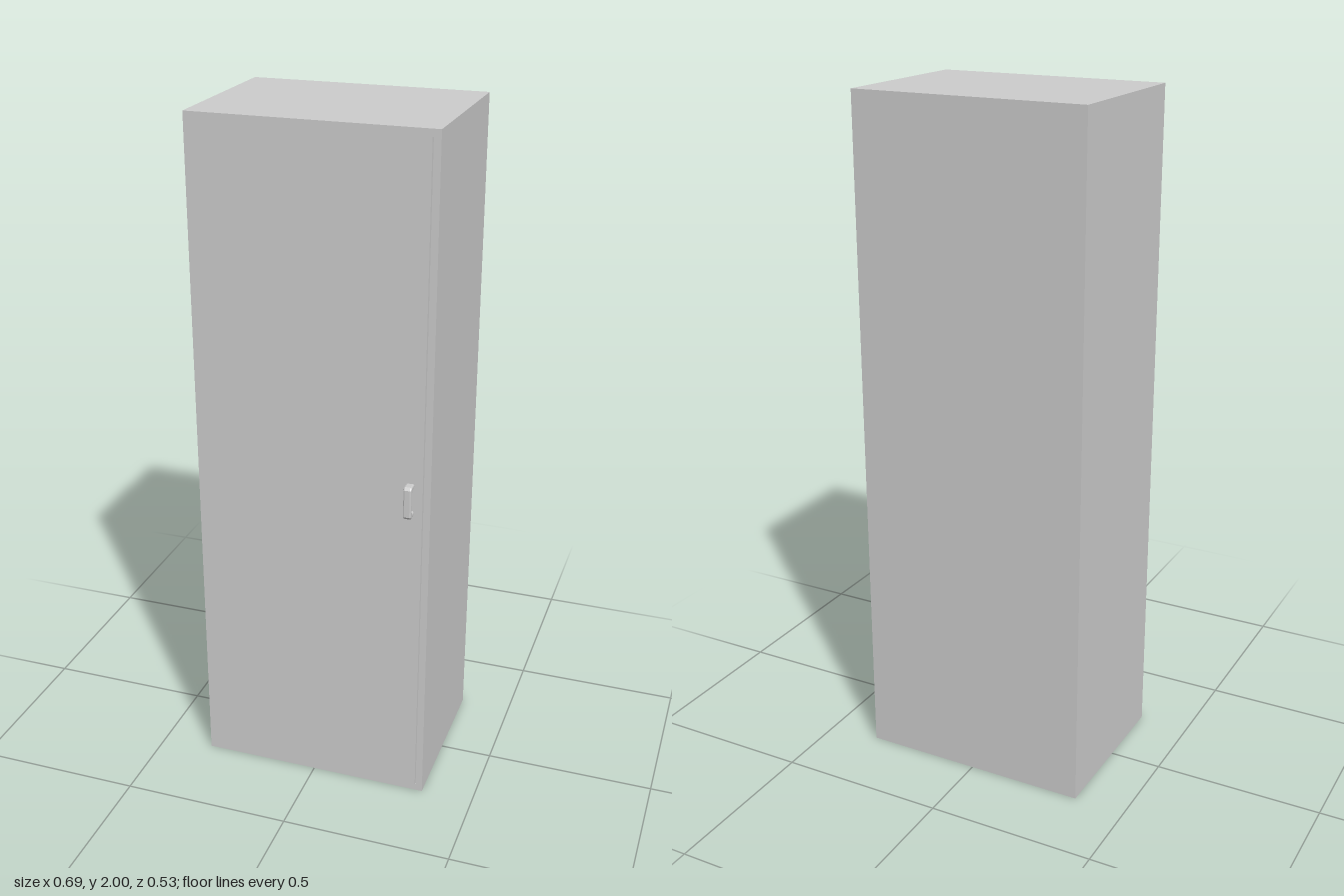
import * as THREE from 'three';

const W = 0.692, H = 2, FRONT = 0.235, BACK = -0.265, T = 0.02, GAP = 0.003;

export function createModel() {
  const group = new THREE.Group();
  group.name = 'cabinet';
  const material = new THREE.MeshStandardMaterial({ color: 0xcccccc });

  // Adds a box given its minimum and maximum corners
  const panel = (name, [x0, y0, z0], [x1, y1, z1]) => {
    const mesh = new THREE.Mesh(new THREE.BoxGeometry(x1 - x0, y1 - y0, z1 - z0), material);
    mesh.position.set((x0 + x1) / 2, (y0 + y1) / 2, (z0 + z1) / 2);
    mesh.name = name;
    group.add(mesh);
  };

  // Hollow carcass
  const x = W / 2, inner = x - T;
  panel('leftSide', [inner, 0, BACK], [x, H, FRONT]);
  panel('rightSide', [-x, 0, BACK], [-inner, H, FRONT]);
  panel('topPanel', [-inner, H - T, BACK], [inner, H, FRONT]);
  panel('bottomPanel', [-inner, 0, BACK], [inner, T, FRONT]);
  panel('backPanel', [-inner, T, BACK], [inner, H - T, BACK + T]);

  // Flush inset door with a narrow gap on its opening edge
  panel('door', [-inner, T, FRONT - T], [inner - GAP, H - T, FRONT]);

  // C-shaped pull handle, drawn in side profile and extruded across x
  const bevel = 0.004, width = 0.023;
  const profile = new THREE.Shape([
    [0.230, 0.930], [0.258, 0.930], [0.265, 0.938], [0.265, 1.020], [0.258, 1.028], [0.230, 1.028],
    [0.230, 1.013], [0.247, 1.013], [0.252, 1.007], [0.252, 0.951], [0.247, 0.945], [0.230, 0.945],
  ].map(([z, y]) => new THREE.Vector2(z, y)));
  const handleGeometry = new THREE.ExtrudeGeometry(profile, {
    depth: width - 2 * bevel, bevelThickness: bevel, bevelSize: bevel, bevelOffset: -bevel, bevelSegments: 2,
  });
  handleGeometry.translate(0, 0, -(width - 2 * bevel) / 2);
  handleGeometry.rotateY(-Math.PI / 2);
  const handle = new THREE.Mesh(handleGeometry, material);
  handle.name = 'handle';
  handle.position.x = 0.287;
  group.add(handle);

  return group;
}
